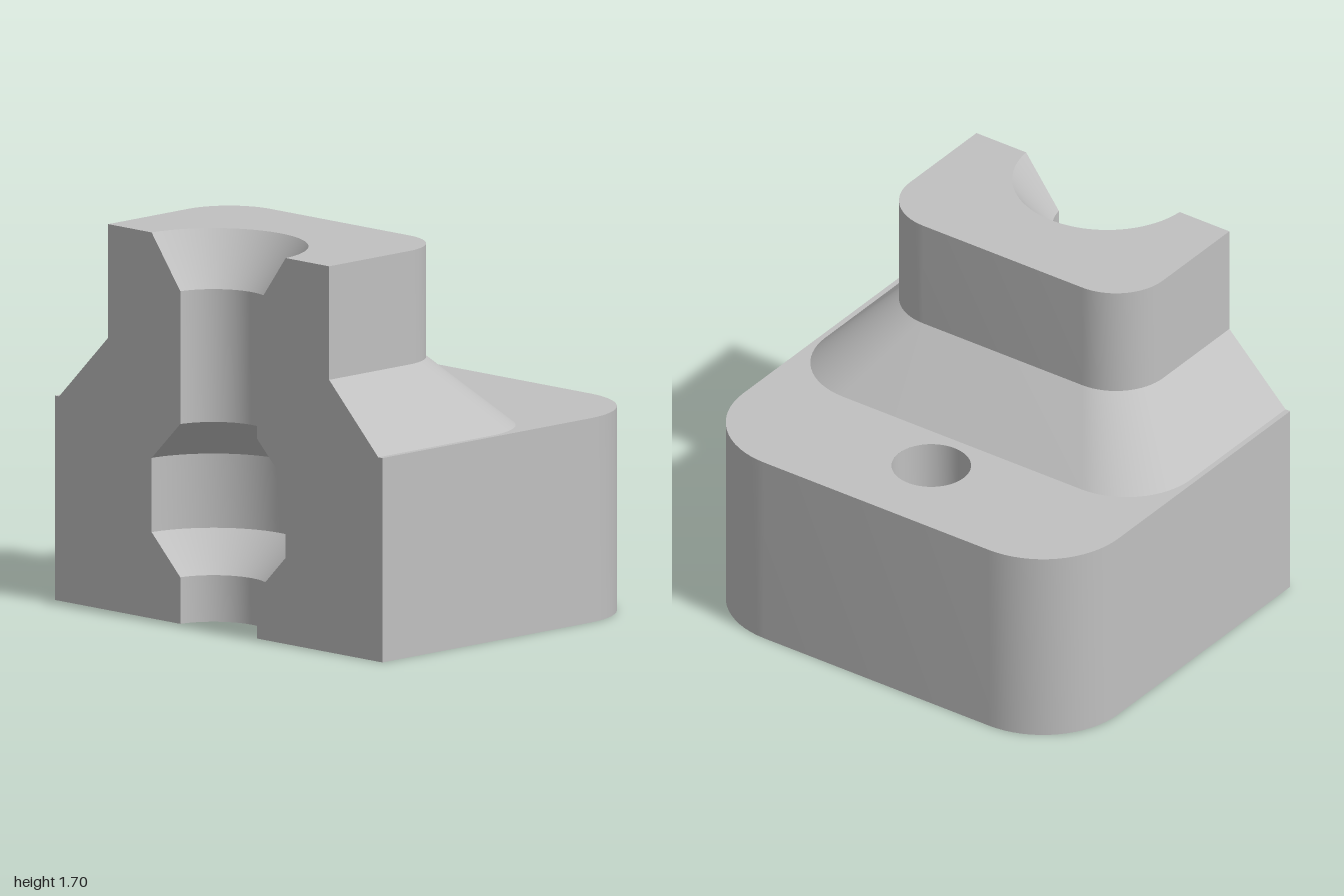
import * as THREE from 'three';
import { toCreasedNormals } from 'three/addons/utils/BufferGeometryUtils.js';

const CUT = -0.835;      // plane of the flat section face
const BORE_X = -0.867;   // axis of the large bore, just beyond the cut
const HOLE_X = 0.43;     // axis of the small screw hole

// Open outline with two rounded corners, from +z round to -z, as [x, z]
function outline(halfZ, maxX, r, n = 16) {
  const pts = [[CUT, halfZ]];
  for (const s of [1, -1]) {
    for (let i = 0; i <= n; i++) {
      const a = (s > 0 ? 1 - i / n : -i / n) * Math.PI / 2;
      pts.push([maxX - r + r * Math.cos(a), s * (halfZ - r) + r * Math.sin(a)]);
    }
  }
  pts.push([CUT, -halfZ]);
  return pts;
}

// Circular arc from -angle to +angle, as [x, z]
function arc(cx, r, angle, n = 48) {
  return Array.from({ length: n + 1 }, (_, i) => {
    const a = angle * (2 * i / n - 1);
    return [cx + r * Math.cos(a), r * Math.sin(a)];
  });
}
const boreArc = (r) => arc(BORE_X, r, Math.acos((CUT - BORE_X) / r));
const holeArc = (r) => arc(HOLE_X, r, Math.PI);

// Wall joining stacked sections of the form [y, points]
function loft(sections) {
  const pos = [];
  for (let i = 0; i < sections.length - 1; i++) {
    const [y0, lo] = sections[i];
    const [y1, up] = sections[i + 1];
    for (let j = 0; j < lo.length - 1; j++) {
      const a = [lo[j][0], y0, lo[j][1]], b = [lo[j + 1][0], y0, lo[j + 1][1]];
      const c = [up[j + 1][0], y1, up[j + 1][1]], d = [up[j][0], y1, up[j][1]];
      pos.push(...a, ...b, ...d, ...b, ...c, ...d);
    }
  }
  const g = new THREE.BufferGeometry();
  g.setAttribute('position', new THREE.Float32BufferAttribute(pos, 3));
  return toCreasedNormals(g, 0.5);
}

const toShape = (pts) => new THREE.Shape(pts.map(([x, y]) => new THREE.Vector2(x, y)));

// Horizontal face at height y, facing up (1) or down (-1)
function cap(y, facing, pts, holeRadius) {
  const shape = toShape(pts);
  if (holeRadius) {
    shape.holes.push(new THREE.Path().absarc(HOLE_X, 0, holeRadius, 0, Math.PI * 2, true));
  }
  return new THREE.ShapeGeometry(shape, 48).rotateX(-facing * Math.PI / 2).translate(0, y, 0);
}

export function createModel() {
  const group = new THREE.Group();
  const grey = new THREE.MeshStandardMaterial({ color: 0xc0c0c0 });
  grey.name = 'plainGrey';
  const add = (name, geometry) => {
    const mesh = new THREE.Mesh(geometry, grey);
    mesh.name = name;
    group.add(mesh);
  };

  const base = outline(1, 0.835, 0.4);
  const flare = outline(0.975, 0.205, 0.34);
  const neck = outline(0.675, -0.095, 0.25);

  // Bore profile from bottom to top: [y, radius]
  const R = 0.411, r = 0.237;
  const bore = [[0, r], [0.205, r], [0.38, R], [0.707, R], [0.88, r], [1.465, r], [1.7, R]];

  // Outer walls
  add('baseWall', loft([[0, base], [0.9, base]]));
  add('slopedShoulder', loft([[0.9, flare], [1.2, neck]]));
  add('neckWall', loft([[1.2, neck], [1.7, neck]]));

  // Horizontal faces
  add('underside', cap(0, -1, [...base, ...boreArc(r)], 0.306));
  add('ledge', cap(0.9, 1, [...base, ...[...flare].reverse()], 0.172));
  add('neckTop', cap(1.7, 1, [...neck, ...boreArc(R)]));

  // Stepped bore and countersunk screw hole
  add('bore', loft(bore.map(([y, rad]) => [y, boreArc(rad)])));
  add('screwHole', loft([[0, holeArc(0.306)], [0.135, holeArc(0.172)], [0.9, holeArc(0.172)]]));

  // Flat section faces on either side of the bore
  const outer = [[1, 0], [1, 0.9], [0.975, 0.9], [0.675, 1.2], [0.675, 1.7]];
  const inner = bore.map(([y, rad]) => [Math.sqrt(rad ** 2 - (CUT - BORE_X) ** 2), y]).reverse();
  for (const [name, s] of [['frontSectionFace', 1], ['backSectionFace', -1]]) {
    const pts = [...outer, ...inner].map(([z, y]) => [s * z, y]);
    add(name, new THREE.ShapeGeometry(toShape(pts)).rotateY(-Math.PI / 2).translate(CUT, 0, 0));
  }
  return group;
}
